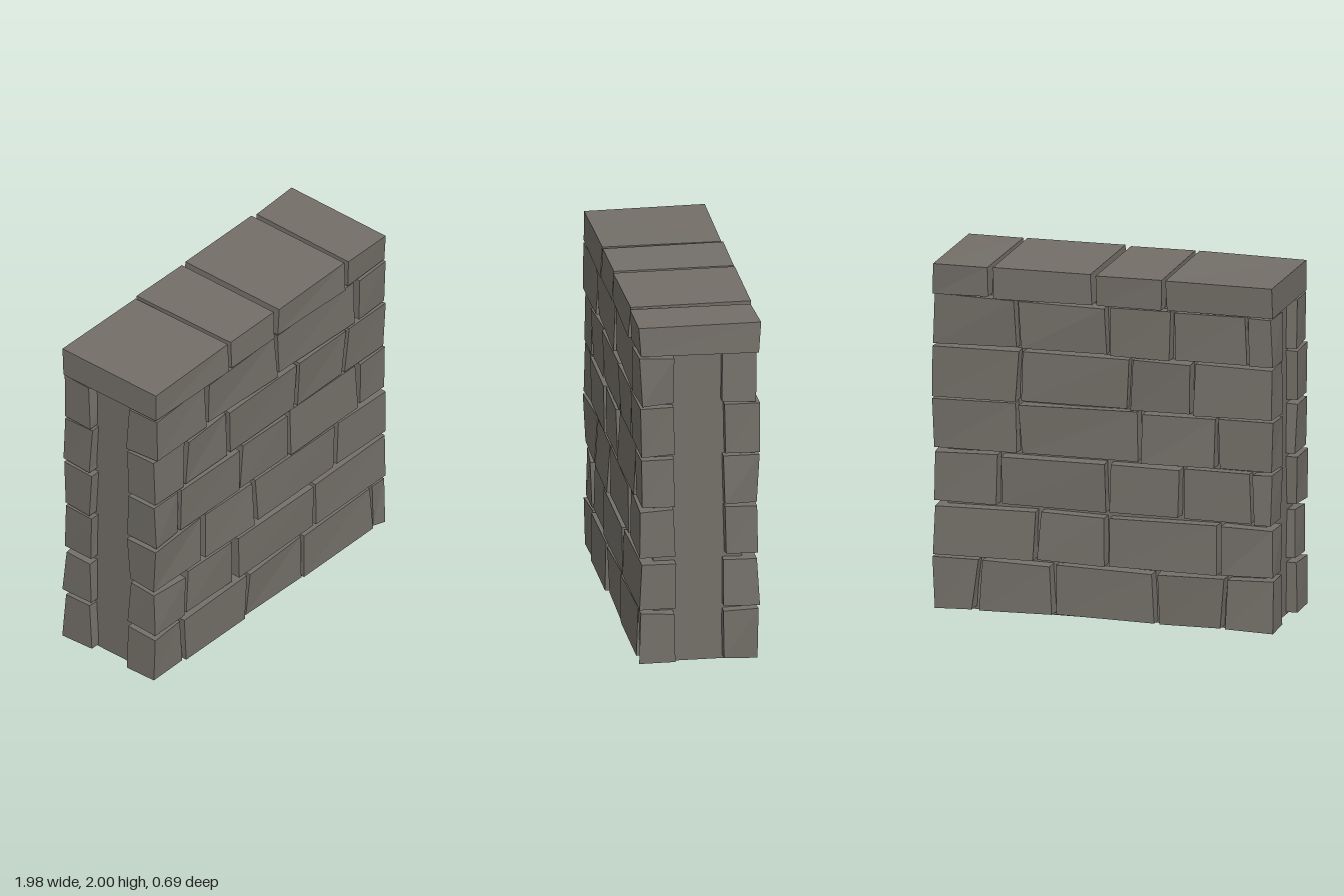
import * as THREE from 'three';

const stone = new THREE.MeshStandardMaterial({ color: 0x736f68 });
stone.name = 'warm grey stone';
stone.flatShading = true;

// Joint positions along x for each course, bottom to top: [at brick bottom, at brick top]
const FRONT = [
  [[-0.73, -0.75], [-0.2, -0.195], [0.285, 0.28], [0.88, 0.87]],
  [[-0.72, -0.71], [-0.29, -0.3], [0.37, 0.385]],
  [[-0.58, -0.57], [-0.12, -0.13], [0.56, 0.575]],
  [[-0.77, -0.77], [-0.255, -0.25], [0.165, 0.165], [0.76, 0.765]],
  [[-0.72, -0.725], [-0.35, -0.355], [0.225, 0.235], [0.64, 0.665]],
  [[-0.54, -0.54], [0.067, 0.065], [0.74, 0.745]],
];
const BACK = [
  [[-0.7, -0.71], [-0.31, -0.3], [0.28, 0.29], [0.74, 0.72]],
  [[-0.67, -0.68], [-0.03, -0.02], [0.39, 0.38]],
  [[-0.87, -0.86], [-0.45, -0.46], [-0.03, -0.02], [0.6, 0.6]],
  [[-0.67, -0.66], [-0.21, -0.22], [0.49, 0.5]],
  [[-0.52, -0.52], [-0.14, -0.16], [0.49, 0.48]],
  [[-0.84, -0.83], [-0.4, -0.41], [-0.03, -0.02], [0.49, 0.51]],
];
const CAP = [[-0.355, -0.355], [0.045, 0.05], [0.65, 0.65]];
const LEVELS = [[0.015, 0.3], [0.325, 0.6], [0.63, 0.91], [0.93, 1.215], [1.23, 1.52], [1.535, 1.81]];

let seed = 11;
function jitter(amount) {
  seed = (seed * 16807) % 2147483647;
  return (seed / 2147483647 * 2 - 1) * amount;
}

// Box whose eight corners are placed by joint slant plus a little roughness
function block(name, left, right, y, z, rough) {
  const corner = {};
  for (const i of [0, 1]) for (const j of [0, 1]) for (const k of [0, 1]) {
    const x = i ? right[j] : left[j];
    corner[`${i}${j}${k}`] = [
      THREE.MathUtils.clamp(x + jitter(rough), -0.99, 0.99),
      THREE.MathUtils.clamp(y[j] + jitter(rough * 0.7), 0.004, 2),
      z[k] + jitter(rough * 1.3),
    ];
  }
  const geometry = new THREE.BoxGeometry(1, 1, 1).toNonIndexed();
  const p = geometry.attributes.position;
  for (let n = 0; n < p.count; n++) {
    const key = [p.getX(n), p.getY(n), p.getZ(n)].map((v) => (v > 0 ? 1 : 0)).join('');
    p.setXYZ(n, ...corner[key]);
  }
  geometry.computeVertexNormals();
  const mesh = new THREE.Mesh(geometry, stone);
  mesh.name = name;
  return mesh;
}

// One row of stones between the two wall ends
function course(name, joints, y, z, rough) {
  const row = new THREE.Group();
  row.name = name;
  const edges = [[-0.983, -0.983], ...joints, [0.983, 0.983]];
  const gap = 0.014;
  for (let i = 0; i < edges.length - 1; i++) {
    const left = edges[i].map((x) => x + (i > 0 ? gap : 0));
    const right = edges[i + 1].map((x) => x - (i < edges.length - 2 ? gap : 0));
    row.add(block('stone', left, right, y, z, rough));
  }
  return row;
}

export function createModel() {
  const wall = new THREE.Group();
  wall.name = 'stoneWall';

  // Plain mortar core
  const core = new THREE.Mesh(new THREE.BoxGeometry(1.85, 1.9, 0.5), stone);
  core.name = 'mortarCore';
  core.position.y = 0.95;
  wall.add(core);

  // Facing stones on both sides
  LEVELS.forEach((y, i) => {
    wall.add(course('frontCourse', FRONT[i], y, [0.135, 0.33], 0.01));
    wall.add(course('backCourse', BACK[i], y, [-0.33, -0.14], 0.01));
  });

  // Full-depth coping stones
  wall.add(course('copingCourse', CAP, [1.82, 1.995], [-0.342, 0.336], 0.007));
  return wall;
}
